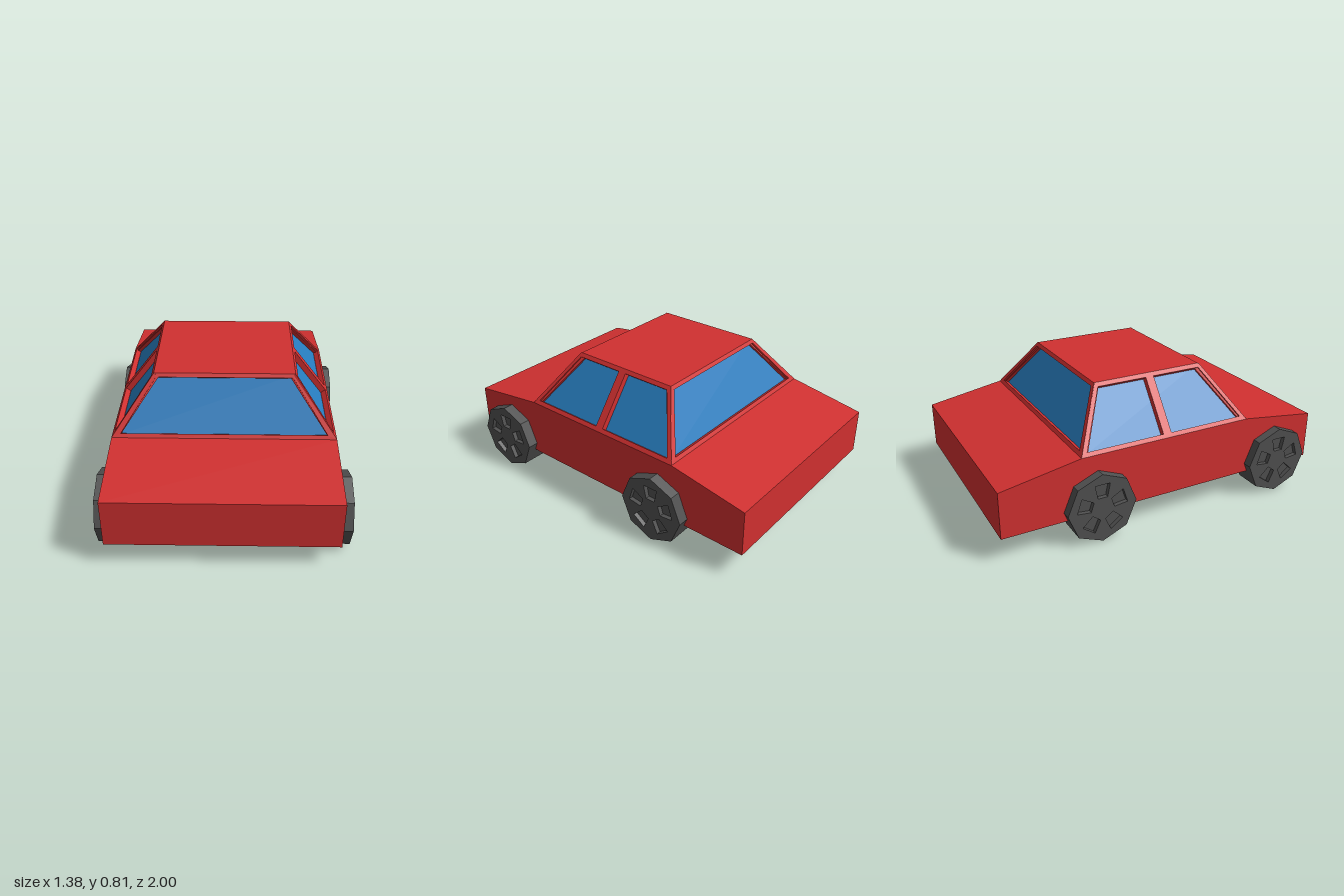
import * as THREE from 'three';

const WHEEL_Y = 0.204, WHEEL_R = 0.204, FRONT_AXLE = 0.735, REAR_AXLE = -0.445;
const BELT_Y = 0.5, ROOF_Y = 0.805;

function shapeOf(points) {
  return new THREE.Shape(points.map(([x, y]) => new THREE.Vector2(x, y)));
}

function addMesh(parent, name, geometry, material) {
  const mesh = new THREE.Mesh(geometry, material);
  mesh.name = name;
  parent.add(mesh);
  return mesh;
}

// Lower body: side profile with an octagonal wheel channel at each axle
function bodyGeometry() {
  const arch = (z) => {
    const r = 0.195, pts = [[z - 0.172, 0.15]];
    for (let i = 4; i >= 0; i--) {
      const a = i * Math.PI / 4;
      pts.push([z + r * Math.cos(a), WHEEL_Y + r * Math.sin(a)]);
    }
    pts.push([z + 0.172, 0.15]);
    return pts;
  };
  const profile = [
    [-1, 0.15], ...arch(REAR_AXLE), ...arch(FRONT_AXLE), [1, 0.15],
    [1, 0.435], [0.52, BELT_Y], [-0.54, BELT_Y], [-1, 0.42],
  ];
  const geometry = new THREE.ExtrudeGeometry(shapeOf(profile), { depth: 1.26, bevelEnabled: false });
  return geometry.translate(0, 0, -0.63).rotateY(-Math.PI / 2);
}

// One sloping cabin wall with recessed glass; heights are fractions of the cabin height
function cabinWall(name, origin, u, inward, run, outline, windows, red, blue) {
  const depth = 0.035;
  const rise = ROOF_Y - BELT_Y, length = Math.hypot(run, rise);
  const v = inward.clone().multiplyScalar(run).add(new THREE.Vector3(0, rise, 0)).normalize();
  const n = u.clone().cross(v);
  const scale = (pts) => pts.map(([x, t]) => [x, t * length]);

  const wall = new THREE.Group();
  wall.name = name;
  const frame = shapeOf(scale(outline));
  for (const w of windows) frame.holes.push(shapeOf(scale(w)));
  const frameGeo = new THREE.ExtrudeGeometry(frame, { depth, bevelEnabled: false }).translate(0, 0, -depth);
  addMesh(wall, name + 'Frame', frameGeo, red);
  const glassGeo = new THREE.ShapeGeometry(shapeOf(scale(outline))).translate(0, 0, -depth + 0.001);
  addMesh(wall, name + 'Glass', glassGeo, blue);

  wall.quaternion.setFromRotationMatrix(new THREE.Matrix4().makeBasis(u, v, n));
  wall.position.copy(origin);
  return wall;
}

// Octagonal wheel with five shallow pockets on each face
function createWheel(rubber) {
  const wheel = new THREE.Group();
  const polar = (r, a) => [r * Math.cos(a), r * Math.sin(a)];
  const octagon = Array.from({ length: 8 }, (_, i) => polar(WHEEL_R, i * Math.PI / 4));
  const face = shapeOf(octagon);
  for (let i = 0; i < 5; i++) {
    const a = Math.PI / 2 + i * Math.PI * 2 / 5;
    face.holes.push(shapeOf([
      polar(0.07, a - 0.42), polar(0.15, a - 0.3), polar(0.15, a + 0.3), polar(0.07, a + 0.42),
    ]));
  }
  const width = 0.16, pocket = 0.025;
  const slab = (shape, depth, z) => new THREE.ExtrudeGeometry(shape, { depth, bevelEnabled: false })
    .translate(0, 0, z).rotateY(Math.PI / 2);
  addMesh(wheel, 'wheelCore', slab(shapeOf(octagon), width - 2 * pocket, -width / 2 + pocket), rubber);
  addMesh(wheel, 'wheelFaceLeft', slab(face, pocket, width / 2 - pocket), rubber);
  addMesh(wheel, 'wheelFaceRight', slab(face, pocket, -width / 2), rubber);
  return wheel;
}

export function createModel() {
  const red = new THREE.MeshStandardMaterial({ color: 0xd03030 });
  red.name = 'red paint';
  const blue = new THREE.MeshStandardMaterial({ color: 0x277cbd });
  blue.name = 'blue glass';
  const rubber = new THREE.MeshStandardMaterial({ color: 0x505050 });
  rubber.name = 'dark grey wheel';

  const car = new THREE.Group();
  car.name = 'car';
  const shell = new THREE.Group();
  shell.name = 'shell';
  shell.position.x = -0.005;
  car.add(shell);
  addMesh(shell, 'lowerBody', bodyGeometry(), red);

  // Cabin walls
  const V = (x, y, z) => new THREE.Vector3(x, y, z);
  const low = 0.066, high = 0.934;
  const endOutline = [[-0.63, 0], [0.63, 0], [0.397, 1], [-0.397, 1]];
  const endWindow = [[-0.578, low], [0.578, low], [0.385, high], [-0.385, high]];
  const sideOutline = [[-0.53, 0], [0.53, 0], [0.335, 1], [-0.335, 1]];
  const rightHalf = [[0.025, low], [0.49, low], [0.323, high], [0.025, high]];
  const leftHalf = rightHalf.map(([x, t]) => [-x, t]).reverse();
  shell.add(cabinWall('windscreen', V(0, BELT_Y, 0.52), V(1, 0, 0), V(0, 0, -1), 0.2,
    endOutline, [endWindow], red, blue));
  shell.add(cabinWall('rearWindow', V(0, BELT_Y, -0.54), V(-1, 0, 0), V(0, 0, 1), 0.19,
    endOutline, [endWindow], red, blue));
  for (const s of [1, -1]) {
    shell.add(cabinWall(s > 0 ? 'leftSide' : 'rightSide', V(s * 0.63, BELT_Y, -0.01), V(0, 0, -s), V(-s, 0, 0),
      0.233, sideOutline, [leftHalf, rightHalf], red, blue));
  }

  // Roof
  const roof = addMesh(shell, 'roof', new THREE.PlaneGeometry(0.794, 0.67).rotateX(-Math.PI / 2), red);
  roof.position.set(0, ROOF_Y, -0.015);

  // Wheels
  for (const [end, z] of [['front', FRONT_AXLE], ['rear', REAR_AXLE]]) {
    for (const s of [1, -1]) {
      const wheel = createWheel(rubber);
      wheel.name = end + (s > 0 ? 'Left' : 'Right') + 'Wheel';
      wheel.position.set(s * 0.608, WHEEL_Y, z);
      car.add(wheel);
    }
  }
  return car;
}
